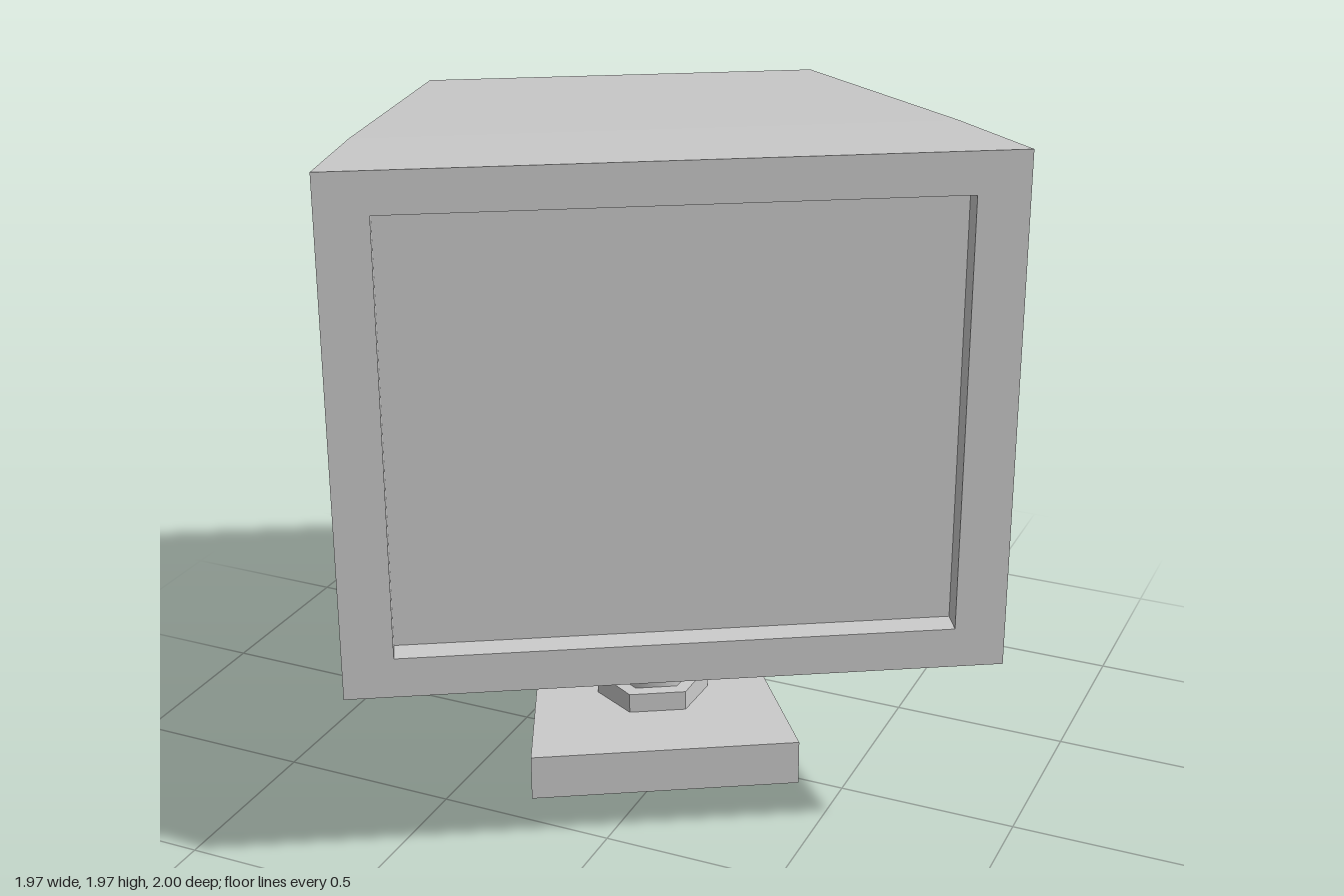
import * as THREE from 'three';

const material = new THREE.MeshStandardMaterial({ color: 0xcccccc, flatShading: true });
const smooth = new THREE.MeshStandardMaterial({ color: 0xcccccc });

// Rectangular loft: each section is [z, halfWidth, bottom, top], ordered back to front
function loft(sections, capFront) {
  const rings = sections.map(([z, w, y0, y1]) => [[-w, y0, z], [w, y0, z], [w, y1, z], [-w, y1, z]]);
  const pos = [];
  const quad = (a, b, c, d) => pos.push(...a, ...b, ...c, ...a, ...c, ...d);
  for (let i = 0; i < rings.length - 1; i++) {
    const a = rings[i], b = rings[i + 1];
    for (let k = 0; k < 4; k++) {
      const n = (k + 1) % 4;
      quad(a[k], a[n], b[n], b[k]);
    }
  }
  const [p, q, r, s] = rings[0];
  quad(s, r, q, p);
  if (capFront) quad(...rings[rings.length - 1]);
  const g = new THREE.BufferGeometry();
  g.setAttribute('position', new THREE.Float32BufferAttribute(pos, 3));
  g.computeVertexNormals();
  return g;
}

export function createModel() {
  const model = new THREE.Group();
  // The whole monitor is turned 30 degrees towards its left
  const monitor = new THREE.Group();
  monitor.name = 'monitor';
  monitor.rotation.y = Math.PI / 6;
  model.add(monitor);

  const add = (name, geometry, x, y, z, mat = material) => {
    const mesh = new THREE.Mesh(geometry, mat);
    mesh.name = name;
    mesh.position.set(x, y, z);
    monitor.add(mesh);
    return mesh;
  };

  // Tapered housing, front frame and the walls of the screen recess
  add('housing', loft([
    [-0.876, 0.563, 0.895, 1.79],
    [0.149, 0.775, 0.6, 1.912],
    [0.61, 0.854, 0.575, 1.965],
    [0.61, 0.722, 0.685, 1.855],
    [0.538, 0.722, 0.685, 1.855],
  ], false), -0.075, 0, 0);

  // Sunken screen
  add('screen', new THREE.PlaneGeometry(1.444, 1.17), -0.075, 1.27, 0.538);

  // Six-sided post and collar
  const post = add('post', new THREE.CylinderGeometry(0.121, 0.121, 0.65, 6), -0.062, 0.435, -0.174, smooth);
  const collar = add('collar', new THREE.CylinderGeometry(0.163, 0.163, 0.08, 6), -0.062, 0.14, -0.174);
  post.rotation.y = collar.rotation.y = Math.PI / 6;

  // Foot, narrower and thinner at the back
  add('foot', loft([
    [-0.558, 0.306, 0, 0.1],
    [0.207, 0.379, 0, 0.132],
  ], true), -0.064, 0, 0);

  return model;
}
